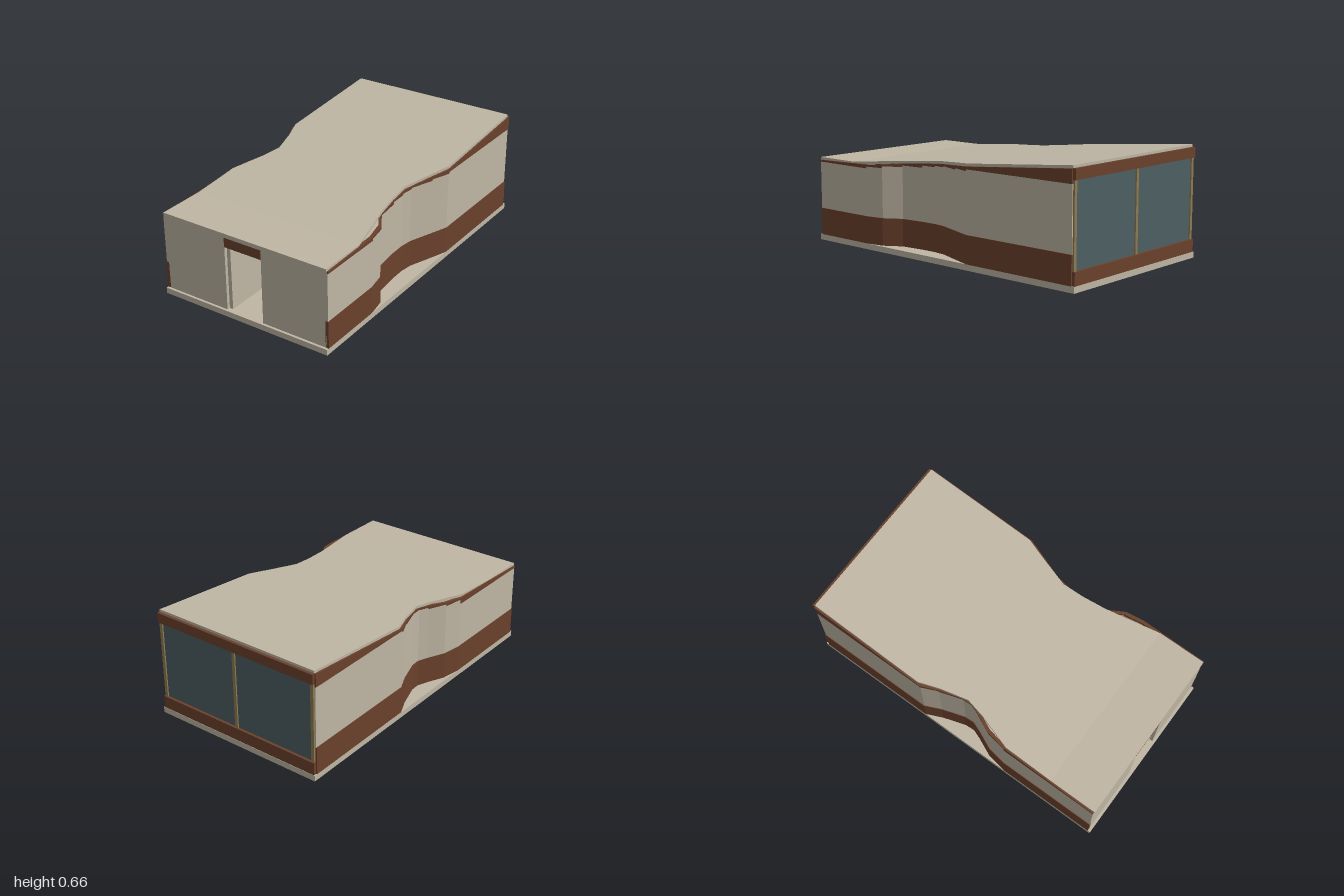
import * as THREE from 'three';

const material = (name, color) => {
  const m = new THREE.MeshStandardMaterial({ color });
  m.name = name;
  return m;
};

// Roof surface: flat at the front, then rising steadily to the back.
const FOLD = 0.69, BACK = -0.98;
const roofTop = z => 0.515 + Math.max(0, FOLD - z) * 0.0868;
const ROOF = 0.016;

export function createModel() {
  const model = new THREE.Group();
  model.name = 'pavilion';
  const cream = material('cream plaster', 0xbfb6a4);
  const brown = material('brown cladding', 0x6b412c);
  const glass = material('dark glass', 0x4d6062);
  const tan = material('tan frame', 0x8f7b51);

  const add = (name, geometry, mat, parent = model) => {
    const mesh = new THREE.Mesh(geometry, mat);
    mesh.name = name;
    parent.add(mesh);
    return mesh;
  };
  // Box given by its limits on each axis
  const box = (name, mat, x0, x1, y0, y1, z0, z1) =>
    add(name, new THREE.BoxGeometry(x1 - x0, y1 - y0, z1 - z0), mat)
      .position.set((x0 + x1) / 2, (y0 + y1) / 2, (z0 + z1) / 2);

  box('floorSlab', cream, -0.555, 0.555, 0, 0.035, -1, 1);

  // Wall panel between plan points p and q, with its own top height at each end
  const panel = (name, mat, p, q, y0, topP, topQ, inset, parent) => {
    const g = new THREE.BoxGeometry(1, 1, 1);
    const pos = g.attributes.position;
    const inward = -Math.sign(p[0]);
    for (let i = 0; i < pos.count; i++) {
      const atQ = pos.getX(i) > 0, up = pos.getY(i) > 0, outer = pos.getZ(i) > 0;
      const [x, z] = atQ ? q : p;
      pos.setXYZ(i, x + inward * (outer ? inset : 0.02), up ? (atQ ? topQ : topP) : y0, z);
    }
    const flat = g.toNonIndexed();
    flat.computeVertexNormals();
    add(name, flat, mat, parent);
  };

  // Wavy side wall: low plinth band, plaster panels, brown fascia up to the roof
  const sideWall = (name, path) => {
    const wall = new THREE.Group();
    wall.name = name;
    model.add(wall);
    for (let i = 0; i < path.length - 1; i++) {
      const p = path[i], q = path[i + 1];
      const zFront = Math.max(p[1], q[1]);
      const plasterTop = zFront < -0.2 ? 0.565 : Math.min(0.555, roofTop(zFront) - 0.027);
      const under = z => roofTop(z) - ROOF;
      panel('plinthBand', brown, p, q, 0.035, 0.2, 0.2, 0, wall);
      panel('plasterPanel', cream, p, q, 0.2, plasterTop, plasterTop, 0.004, wall);
      panel('fascia', brown, p, q, plasterTop, under(p[1]), under(q[1]), 0, wall);
    }
  };
  sideWall('leftWall', [[0.555, 0.985], [0.555, 0.57], [0.535, 0.455], [0.47, 0.35], [0.455, 0.2],
    [0.453, 0.1], [0.463, 0.02], [0.513, -0.12], [0.555, -0.24], [0.555, BACK]]);
  sideWall('rightWall', [[-0.555, BACK], [-0.555, -0.22], [-0.51, -0.12], [-0.465, 0.02], [-0.462, 0.08],
    [-0.485, 0.14], [-0.535, 0.25], [-0.555, 0.37], [-0.555, 0.985]]);

  // Roof: flat front strip and waisted sloping plate
  box('roofFront', cream, -0.545, 0.545, 0.49, 0.515, FOLD, 0.99);
  const outline = [[0.545, FOLD], [0.47, 0.35], [0.45, 0.2], [0.443, 0.07], [0.495, -0.1], [0.545, -0.25],
    [0.545, BACK], [-0.545, BACK], [-0.545, -0.24], [-0.5, -0.12], [-0.455, 0.05], [-0.48, 0.17],
    [-0.545, 0.38], [-0.545, FOLD]];
  const shape = new THREE.Shape(outline.map(([x, z]) => new THREE.Vector2(x, -z)));
  const roof = new THREE.ExtrudeGeometry(shape, { depth: ROOF, bevelEnabled: false });
  roof.rotateX(-Math.PI / 2);
  const rp = roof.attributes.position;
  for (let i = 0; i < rp.count; i++) rp.setY(i, rp.getY(i) + roofTop(rp.getZ(i)) - ROOF);
  roof.computeVertexNormals();
  add('slopingRoof', roof, cream);

  // Front wall with doorway
  box('frontWallRight', cream, -0.545, -0.123, 0.035, 0.49, 0.965, 0.985);
  box('frontWallLeft', cream, 0.123, 0.545, 0.035, 0.49, 0.965, 0.985);
  box('doorLintel', brown, -0.123, 0.123, 0.43, 0.49, 0.967, 0.987);

  // Interior seen through the doorway
  box('entryPartition', cream, -0.125, -0.1, 0.035, 0.43, 0.6, 0.965);
  box('innerPartition', cream, -0.12, -0.092, 0.035, 0.39, 0.25, 0.6);
  box('counter', cream, -0.3, -0.012, 0.035, 0.283, 0.1, 0.25);
  box('counterTop', brown, -0.3, -0.012, 0.283, 0.291, 0.1, 0.25);
  box('bench', brown, 0.095, 0.25, 0.035, 0.12, 0.2, 0.5);

  // Glazed back wall
  box('backSill', brown, -0.548, 0.548, 0.035, 0.11, -0.998, -0.975);
  box('backFascia', brown, -0.548, 0.548, 0.585, 0.645, -0.998, -0.975);
  box('backGlass', glass, -0.54, 0.54, 0.11, 0.585, -0.982, -0.976);
  for (const x of [-0.535, 0, 0.535])
    box('backMullion', tan, x - 0.01, x + 0.01, 0.11, 0.585, -0.99, -0.97);

  return model;
}
